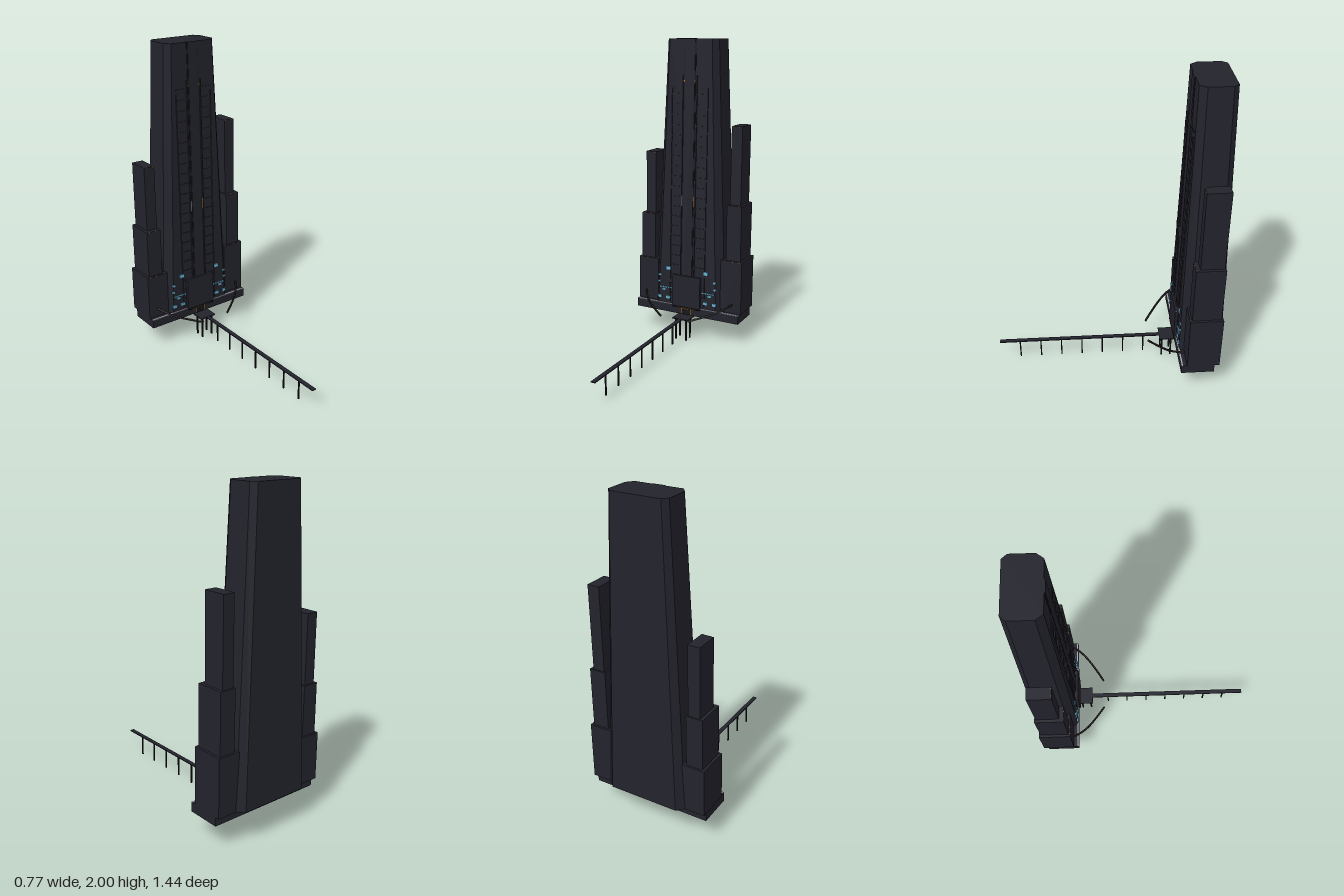
import * as THREE from 'three';

const mat = (name, color) => {
  const m = new THREE.MeshStandardMaterial({ color });
  m.name = name;
  return m;
};

export function createModel() {
  const hull = mat('hull', 0x23232d);
  const dark = mat('dark trim', 0x15151b);
  const cyan = mat('window blue', 0x66b4d4);
  const orange = mat('lamp orange', 0xc07a1c);
  const pale = mat('pale line', 0xa8a8b4);

  const model = new THREE.Group();
  model.name = 'tower';

  // Box given by its minimum and maximum along each axis
  const box = (name, m, x0, x1, y0, y1, z0, z1, parent = model) => {
    const mesh = new THREE.Mesh(new THREE.BoxGeometry(x1 - x0, y1 - y0, z1 - z0), m);
    mesh.position.set((x0 + x1) / 2, (y0 + y1) / 2, (z0 + z1) / 2);
    mesh.name = name;
    parent.add(mesh);
    return mesh;
  };

  // Main tower: an octagonal prism narrowed toward the top
  const outline = [[0.26, 0.5], [0.26, 0.68], [0.22, 0.72], [-0.22, 0.72],
    [-0.26, 0.68], [-0.26, 0.5], [-0.215, 0.447], [0.215, 0.447]];
  const towerGeo = new THREE.ExtrudeGeometry(
    new THREE.Shape(outline.map(([x, z]) => new THREE.Vector2(x, z))),
    { depth: 1.79, bevelEnabled: false });
  towerGeo.rotateX(-Math.PI / 2).translate(0, 0.21, 0);
  const p = towerGeo.attributes.position;
  for (let i = 0; i < p.count; i++) {
    const t = (p.getY(i) - 0.21) / 1.79;
    const depth = (-0.447 - p.getZ(i)) / 0.273;
    p.setX(i, p.getX(i) * THREE.MathUtils.lerp(1, 0.69, t));
    p.setZ(i, -0.447 - 0.022 * t - depth * THREE.MathUtils.lerp(0.273, 0.214, t));
  }
  towerGeo.computeVertexNormals();
  const tower = new THREE.Mesh(towerGeo, hull);
  tower.name = 'mainTower';
  model.add(tower);

  // Front detailing lies on the slightly leaning front face
  const face = new THREE.Group();
  face.name = 'frontFace';
  face.position.set(0, 0.21, -0.447);
  face.rotation.x = -Math.atan(0.022 / 1.79);
  model.add(face);
  box('centreSpine', hull, -0.036, 0.036, 0, 1.79, -0.004, 0.007, face);
  for (const s of [-1, 1]) {
    const strip = (name, m, x, y, w, h, z = 0.004) =>
      box(name, m, s * x - w / 2, s * x + w / 2, y - 0.21 - h / 2, y - 0.21 + h / 2, -0.002, z, face);
    strip('spineGroove', dark, 0.0385, 1.105, 0.005, 1.79, 0.003);
    strip('spineRail', hull, 0.05, 0.99, 0.006, 1.56, 0.009);
    strip('ladderRail', hull, 0.128, 0.96, 0.006, 1.46, 0.007);
    for (let i = 0; i < 22; i++) strip('ladderRung', hull, 0.09, 0.29 + i * 0.068, 0.08, 0.007, 0.005);
    strip('slitLamp', s > 0 ? orange : pale, 0.0435, 0.945, 0.004, 0.07, 0.008);
    strip('upperLamp', orange, 0.039, 1.735, 0.008, 0.008, 0.008);

    // Lit windows around the entrance
    const windows = [[0.14, 0.465, 0.03, 0.022], [0.205, 0.41, 0.02, 0.012],
      [0.21, 0.362, 0.018, 0.012], [0.172, 0.31, 0.026, 0.012],
      [0.14, 0.255, 0.03, 0.018], [0.205, 0.255, 0.026, 0.018]];
    for (const [x, y, w, h] of windows) strip('window', cyan, x, y, w, h, 0.008);
    for (let i = 0; i < 5; i++) strip('windowRow', cyan, 0.12 + i * 0.019, 0.326, 0.014, 0.006, 0.008);
  }

  // Entrance block with cut upper corners
  const portalShape = new THREE.Shape([[-0.105, 0.21], [0.105, 0.21], [0.105, 0.42],
    [0.095, 0.43], [-0.095, 0.43], [-0.105, 0.42]].map(([x, y]) => new THREE.Vector2(x, y)));
  const portal = new THREE.Mesh(
    new THREE.ExtrudeGeometry(portalShape, { depth: 0.033, bevelEnabled: false }), hull);
  portal.position.z = -0.462;
  portal.name = 'entranceBlock';
  model.add(portal);

  // Base slab and its pale seam
  box('baseSlab', hull, -0.38, 0.38, 0.152, 0.21, -0.65, -0.44);
  box('baseSeam', pale, -0.38, 0.38, 0.209, 0.213, -0.45, -0.439);

  // Doorway and canopy
  box('doorPanel', dark, -0.033, 0.033, 0.155, 0.195, -0.445, -0.437);
  box('doorLintel', orange, -0.038, 0.038, 0.195, 0.2, -0.445, -0.436);
  for (const s of [-1, 1]) box('doorPost', orange, s * 0.036 - 0.002, s * 0.036 + 0.002, 0.155, 0.197, -0.445, -0.436);
  box('canopy', dark, -0.1, 0.1, 0.2, 0.207, -0.442, -0.427);
  box('canopyLamp', orange, -0.07, 0.07, 0.202, 0.205, -0.43, -0.426);

  // Stepped side towers, the left one taller
  const tiers = [[0.235, 0.384, -0.68, -0.475], [0.235, 0.368, -0.668, -0.487], [0.235, 0.349, -0.66, -0.515]];
  const flank = (side, tops) => {
    const g = new THREE.Group();
    g.name = side > 0 ? 'leftSideTower' : 'rightSideTower';
    let y = 0.21;
    tiers.forEach(([x0, x1, z0, z1], i) => {
      const inner = [x0, 0.265, 0.275][i];
      box('tier', hull, Math.min(side * inner, side * x1), Math.max(side * inner, side * x1), y, tops[i], z0, z1, g);
      // Small lamps along the upper edge
      for (let k = 0; k < 2; k++) {
        const x = side * (x1 - 0.02 - k * 0.045);
        box('edgeLamp', orange, x - 0.003, x + 0.003, tops[i] - 0.005, tops[i] + 0.0008, z1 - 0.004, z1 + 0.001, g);
      }
      y = tops[i];
    });
    model.add(g);
  };
  flank(1, [0.57, 0.94, 1.455]);
  flank(-1, [0.51, 0.825, 1.25]);

  // Landing platform and long walkway on thin posts
  box('platform', hull, -0.058, 0.058, 0.147, 0.154, -0.45, -0.345);
  box('walkway', hull, -0.014, 0.014, 0.146, 0.152, -0.345, 0.72);
  for (let i = 0; i < 7; i++) {
    const z = 0.588 - i * 0.1377;
    box('walkwayPost', dark, -0.004, 0.004, 0.012, 0.147, z - 0.004, z + 0.004);
  }
  for (const x of [-0.038, 0.038]) {
    for (const z of [-0.362, -0.422]) box('platformPost', dark, x - 0.005, x + 0.005, 0, 0.148, z - 0.005, z + 0.005);
  }

  // Curved arms reaching forward, with lamps on top
  for (const s of [-1, 1]) {
    const curve = new THREE.CatmullRomCurve3([[0.325, 0.272, -0.467], [0.29, 0.252, -0.415], [0.25, 0.23, -0.373],
      [0.175, 0.205, -0.315], [0.097, 0.182, -0.262]].map(([x, y, z]) => new THREE.Vector3(s * x, y, z)));
    const arm = new THREE.Mesh(new THREE.TubeGeometry(curve, 16, 0.007, 6), dark);
    arm.name = 'curvedArm';
    model.add(arm);
    for (let i = 0; i < 12; i++) {
      const c = curve.getPoint((i + 0.5) / 12);
      box('armLamp', orange, c.x - 0.002, c.x + 0.002, c.y + 0.004, c.y + 0.0085, c.z - 0.002, c.z + 0.002);
    }
  }
  return model;
}
